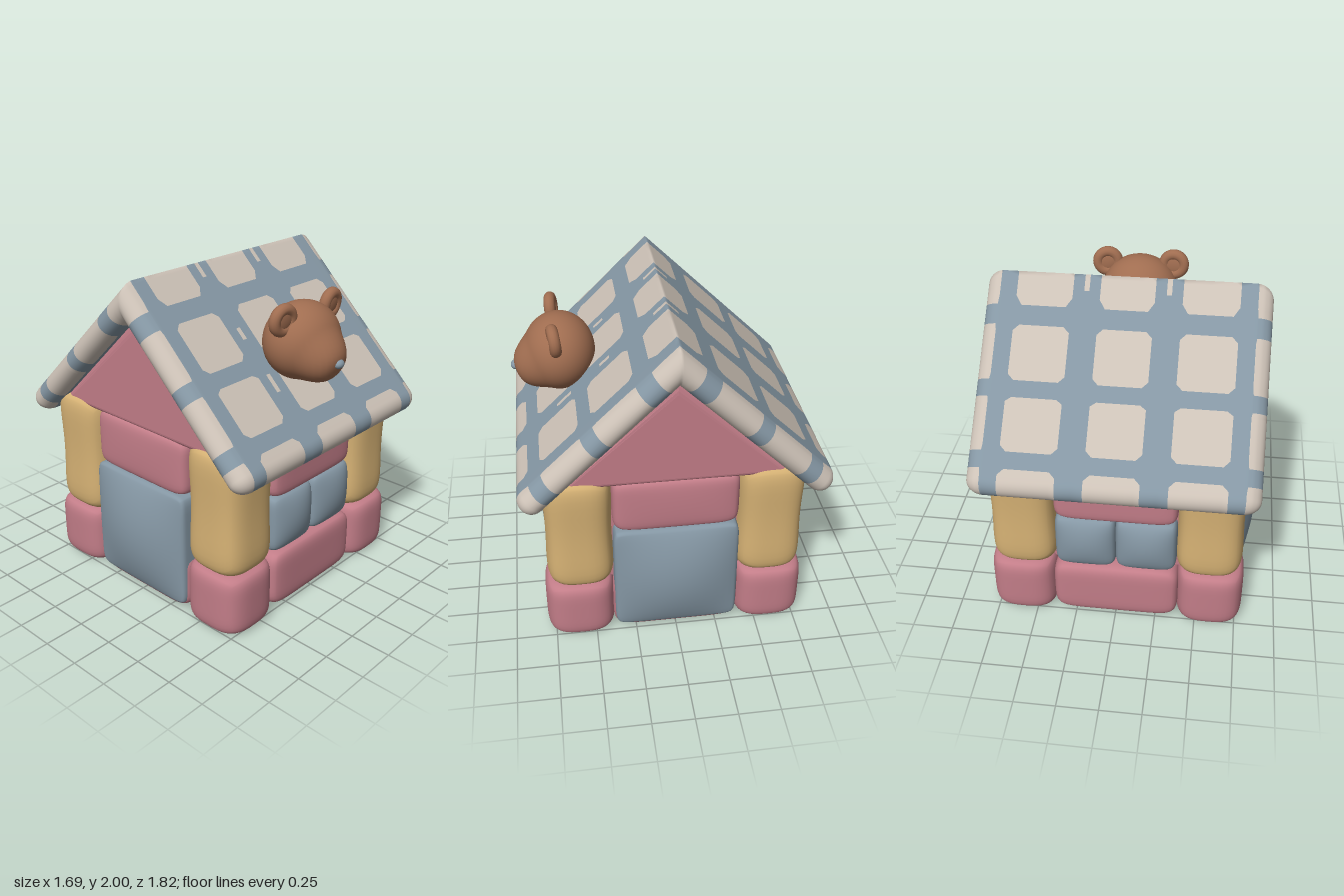
import * as THREE from 'three';
import { mergeVertices } from 'three/addons/utils/BufferGeometryUtils.js';

const mat = (name, color) => {
  const m = new THREE.MeshStandardMaterial({ color });
  m.name = name;
  return m;
};

function smooth(g) {
  g.deleteAttribute('uv');
  g.deleteAttribute('normal');
  const m = mergeVertices(g, 1e-5);
  m.computeVertexNormals();
  return m;
}

// Stuffed cushion: a superellipsoid box given as half sizes; plan rounds its upright edges.
// bulge swells the x and z faces; waist narrows the middle of its height.
function cushion(hx, hy, hz, { n = 8, plan = n, bulge = [0, 0], waist = 0 } = {}) {
  const g = new THREE.BoxGeometry(2, 2, 2, 16, 16, 16);
  const p = g.attributes.position;
  for (let i = 0; i < p.count; i++) {
    let [x, y, z] = [p.getX(i), p.getY(i), p.getZ(i)].map(c => Math.sin(c * Math.PI / 2));
    const q = (Math.abs(x) ** plan + Math.abs(z) ** plan) ** (1 / plan);
    const k = (q ** n + Math.abs(y) ** n) ** (-1 / n);
    x *= k; y *= k; z *= k;
    const [a, b, c] = [1 - x * x, 1 - y * y, 1 - z * z];
    const w = 1 - waist * Math.cos(y * Math.PI / 1.3);
    p.setXYZ(i, x * hx * w * (1 + bulge[0] * b * c), y * hy, z * hz * w * (1 + bulge[1] * a * b));
  }
  return smooth(g);
}

// Padded roof: a folded sheet with a round rim; the check pattern is split into two groups.
function roofGeometry() {
  const R = 0.083, RX = 0.105, X = 0.84, L = 1.237, cut = 0.035, ang = Math.atan(0.97);
  const nz = Math.sin(ang), ny = Math.cos(ang), top = 1.997 - R / ny;
  const bandsX = [0.16, 0.32, 0.65, 0.75], bandsS = [0.125, 0.245, 0.575, 0.675, 0.99, 1.09];
  const lines = (end, rim, bands, extra) => {
    const half = [...bands, ...bands.map((b, i) => b + (i % 2 ? cut : -cut)), ...extra];
    for (let i = 0; i <= 8; i++) half.push(end - rim + rim * Math.sin(i / 8 * Math.PI / 2));
    return [...new Set([...half, ...half.map(v => -v), 0])].sort((a, b) => a - b);
  };
  const xs = lines(X, RX, bandsX, [0.08, 0.225, 0.255, 0.48]);
  const ss = lines(L, R, bandsS, [0.015, 0.04, 0.06, 0.38, 0.46, 0.7, 0.82]);
  const inPatch = (v, bands) => bands.filter(b => Math.abs(v) > b).length % 2 === 0;
  // Which end of a cell touches a blue band: -1, 0 or 1
  const edge = (list, i, bands) => {
    const near = v => bands.some(b => Math.abs(Math.abs(v) - b) < 1e-6);
    return near(list[i]) ? -1 : near(list[i + 1]) ? 1 : 0;
  };
  // Small cream slits where bands cross
  const slit = (x, s) => Math.abs(Math.abs(x) - 0.24) < 0.015 &&
    (Math.abs(s) < 0.06 || (s > 0.38 && s < 0.46) || (s > 0.7 && s < 0.82));

  const pos = [], parts = [[], []], nS = ss.length;
  for (const side of [1, -1]) {
    const base = pos.length / 3;
    xs.forEach(x => ss.forEach(s => {
      const a = Math.max(0, (Math.abs(x) - X + RX) / RX), b = Math.max(0, (Math.abs(s) - L + R) / R);
      const h = side * R * Math.sqrt(Math.max(0, (1 - a * a) * (1 - b * b)));
      const px = a > 0 ? Math.sign(x) * (X - RX + RX * a * Math.sqrt(1 - b * b / 2)) : x;
      const ps = b > 0 ? L - R + R * b * Math.sqrt(1 - a * a / 2) : Math.abs(s);
      const k = Math.min(1, ps / 0.12);
      pos.push(px, top - ps * nz + h * (1 - k * nz * nz) / ny, Math.sign(s) * (ps * ny + k * nz * h));
    }));
    for (let i = 0; i < xs.length - 1; i++) for (let j = 0; j < nS - 1; j++) {
      const a = base + i * nS + j, b = a + 1, d = a + nS, c = d + 1;
      const mx = (xs[i] + xs[i + 1]) / 2, ms = (ss[j] + ss[j + 1]) / 2;
      const patch = inPatch(mx, bandsX) && inPatch(ms, bandsS);
      const ex = edge(xs, i, bandsX), es = edge(ss, j, bandsS);
      const corner = patch && ex !== 0 && es !== 0;
      const light = patch || slit(mx, ms) ? 1 : 0;
      // Start at the patch's outer corner so that the diagonal trims it
      const ring = [a, b, c, d], first = ex < 0 ? (es < 0 ? 0 : 1) : (es < 0 ? 3 : 2);
      const [p, q, r, t] = [0, 1, 2, 3].map(k => ring[(first + k) % 4]);
      parts[corner ? 0 : light].push(...(side > 0 ? [t, p, q] : [t, q, p]));
      parts[light].push(...(side > 0 ? [q, r, t] : [q, t, r]));
    }
  }
  const g = new THREE.BufferGeometry();
  g.setAttribute('position', new THREE.Float32BufferAttribute(pos, 3));
  g.setIndex([...parts[0], ...parts[1]]);
  g.addGroup(0, parts[0].length, 0);
  g.addGroup(parts[0].length, parts[1].length, 1);
  return smooth(g);
}

// Head: an ellipsoid with a blunt snout swelling softly out of it
function headGeometry() {
  const g = new THREE.SphereGeometry(1, 48, 36);
  const p = g.attributes.position, v = new THREE.Vector3(), snout = new THREE.Vector3(0, -0.42, 0.91).normalize();
  for (let i = 0; i < p.count; i++) {
    v.fromBufferAttribute(p, i);
    const pull = THREE.MathUtils.smoothstep(v.dot(snout), 0.58, 0.98);
    p.setXYZ(i, v.x * 0.248, v.y * 0.23 - 0.03 * pull, v.z * 0.214 + 0.062 * pull);
  }
  return smooth(g);
}

export function createModel() {
  const rose = mat('rose fabric', 0xc27d88), gold = mat('golden fabric', 0xd5b174);
  const blue = mat('blue fabric', 0x8597a4), cream = mat('cream fabric', 0xcdc2b7);
  const brown = mat('brown plush', 0xa06d50);

  const model = new THREE.Group();
  model.name = 'plushHouse';
  const add = (parent, name, geo, material, x = 0, y = 0, z = 0) => {
    const m = new THREE.Mesh(geo, material);
    m.name = name;
    m.position.set(x, y, z);
    parent.add(m);
    return m;
  };

  // Corner blocks and columns
  const block = cushion(0.207, 0.2, 0.212, { n: 6, plan: 3.1 });
  const column = cushion(0.207, 0.395, 0.206, { n: 6, plan: 3.2, waist: 0.045 });
  for (const sx of [1, -1]) for (const sz of [1, -1]) {
    add(model, 'cornerBlock', block, rose, sx * 0.583, 0.2, sz * 0.588);
    add(model, 'column', column, gold, sx * 0.568, 0.77, sz * 0.575);
  }

  // Front and back walls: sill, paired window cushions, lintel
  const sill = cushion(0.39, 0.192, 0.19, { n: 6, plan: 8 });
  const windowPad = cushion(0.188, 0.187, 0.125, { n: 7, plan: 6, bulge: [0, 0.35] });
  const lintel = cushion(0.375, 0.18, 0.17, { n: 8 });
  // Side walls: footing, domed door, lintel
  const footing = cushion(0.19, 0.192, 0.39, { n: 6, plan: 8 });
  const door = cushion(0.1, 0.37, 0.377, { n: 14, bulge: [0.85, 0] });
  const sideLintel = cushion(0.17, 0.18, 0.377, { n: 8, bulge: [0.06, 0] });
  for (const s of [1, -1]) {
    add(model, 'sill', sill, rose, 0, 0.2, s * 0.583);
    for (const sx of [1, -1]) add(model, 'windowCushion', windowPad, blue, sx * 0.185, 0.57, s * 0.62);
    add(model, 'lintel', lintel, rose, 0, 0.925, s * 0.58);
    add(model, 'footing', footing, rose, s * 0.57, 0.2, 0);
    add(model, 'door', door, blue, s * 0.66, 0.41, 0);
    add(model, 'sideLintel', sideLintel, rose, s * 0.58, 0.95, 0);
  }

  // Inner core and floor
  add(model, 'innerCore', new THREE.BoxGeometry(1.28, 0.74, 1.28), rose, 0, 0.73, 0);
  add(model, 'floor', new THREE.BoxGeometry(1.1, 0.009, 1.1), blue, 0, 0.35, 0);

  // Gable prism
  const tri = new THREE.Shape([[-0.7, 1.1], [0.7, 1.1], [0, 1.79]].map(([x, y]) => new THREE.Vector2(x, y)));
  const gable = new THREE.ExtrudeGeometry(tri, {
    depth: 1.38, bevelThickness: 0.05, bevelSize: 0.07, bevelOffset: -0.07, bevelSegments: 6,
  });
  gable.translate(0, 0, -0.69).rotateY(Math.PI / 2);
  add(model, 'gable', gable, rose);

  // Roof
  add(model, 'roof', roofGeometry(), [blue, cream]);

  // Bear head
  const bear = new THREE.Group();
  bear.name = 'bearHead';
  model.add(bear);
  const ball = new THREE.SphereGeometry(1, 40, 28);
  const ring = new THREE.TorusGeometry(0.064, 0.034, 14, 32);
  add(bear, 'head', headGeometry(), brown, 0, 1.613, 0.61);
  add(bear, 'nose', ball, blue, 0, 1.53, 0.876).scale.set(0.036, 0.027, 0.028);
  for (const s of [1, -1]) {
    const ear = new THREE.Group();
    ear.name = 'ear';
    ear.position.set(s * 0.215, 1.785, 0.64);
    ear.rotation.set(0.1, s * 0.1, 0);
    bear.add(ear);
    add(ear, 'earRim', ring, brown);
    add(ear, 'earPad', ball, brown).scale.set(0.08, 0.08, 0.028);
  }
  return model;
}
